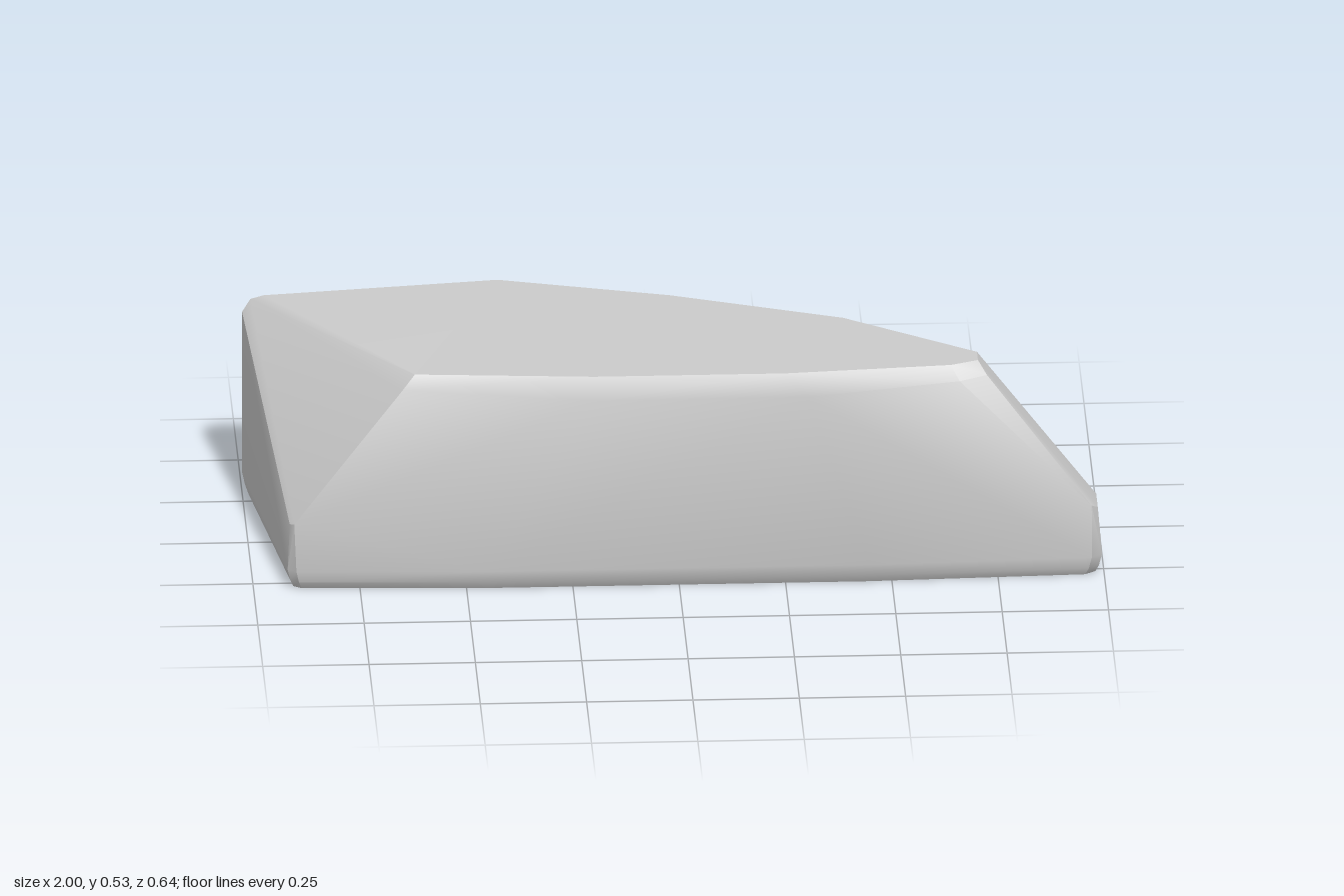
import * as THREE from 'three';
import { ConvexGeometry } from 'three/addons/geometries/ConvexGeometry.js';
import { toCreasedNormals } from 'three/addons/utils/BufferGeometryUtils.js';

// Plan outline of the foot, as [x, z]
const footOutline = [
  [-1, -0.31], [-0.6, -0.32], [-0.15, -0.322], [-0.08, -0.305], [0.65, -0.005],
  [0.97, 0.18], [0.995, 0.2], [0.995, 0.28], [0.97, 0.3],
  [0.45, 0.32], [-0.45, 0.32], [-0.9, 0.3], [-0.92, 0.285],
];

// Corners where the lower walls turn into the slanted ends, as [x, y, z]
const waist = [
  [-0.905, 0.17, 0.3], [-0.915, 0.165, 0.285],
  [0.985, 0.17, 0.2], [0.985, 0.17, 0.28], [0.97, 0.18, 0.295],
  [0.65, 0.24, 0.0],
];

// Rim just below the top bevel
const shoulder = [
  [-1, 0.46, -0.305], [-0.98, 0.49, -0.31], [-0.4, 0.495, -0.315], [0, 0.495, -0.2],
  [0.4, 0.48, -0.04], [0.725, 0.505, 0.19], [0.725, 0.505, 0.265], [0.66, 0.5, 0.288],
  [0.3, 0.48, 0.32], [-0.2, 0.48, 0.32], [-0.65, 0.5, 0.285],
];

// Outline of the top face
const crown = [
  [-0.95, 0.503, -0.3], [-0.4, 0.533, -0.297], [0, 0.533, -0.185], [0.4, 0.533, -0.03],
  [0.705, 0.533, 0.19], [0.705, 0.533, 0.24], [0.64, 0.533, 0.267],
  [0.25, 0.533, 0.3], [-0.2, 0.533, 0.3], [-0.62, 0.533, 0.267],
];

export function createModel() {
  const group = new THREE.Group();
  group.name = 'rock';

  const points = [];
  for (const [x, z] of footOutline) {
    points.push(new THREE.Vector3(x, 0.05, z));
    points.push(new THREE.Vector3(x * 0.993, 0.02, z * 0.98));
    points.push(new THREE.Vector3(x * 0.985, 0, z * 0.94)); // bevelled underside
  }
  for (const p of [...waist, ...shoulder, ...crown]) points.push(new THREE.Vector3(...p));

  // Faceted stone with softened bevels
  const geometry = toCreasedNormals(new ConvexGeometry(points), 0.5);
  const stone = new THREE.Mesh(geometry, new THREE.MeshStandardMaterial({ color: 0xcccccc }));
  stone.name = 'stone';
  group.add(stone);
  return group;
}
